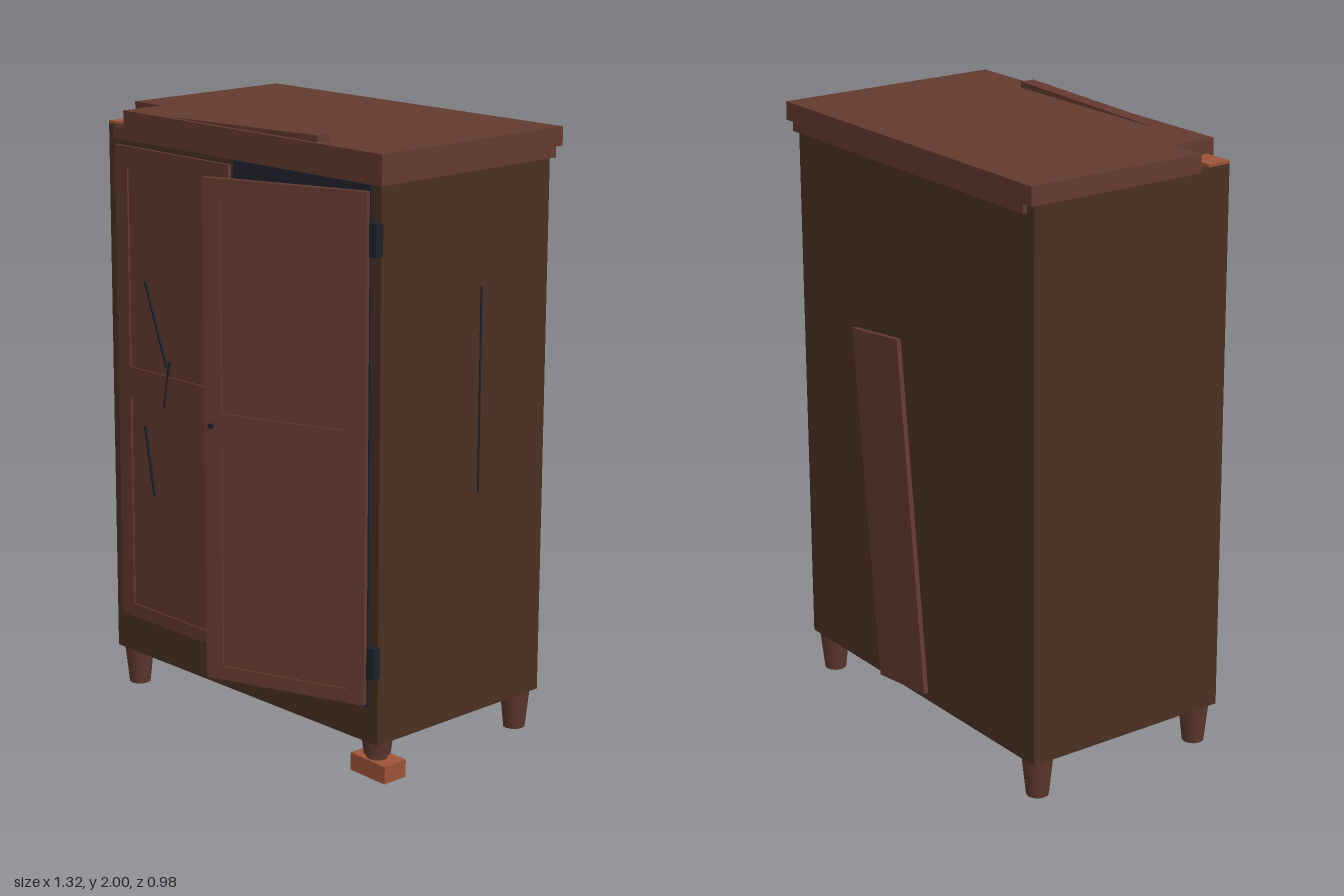
import * as THREE from 'three';

const mat = (name, color) => {
  const m = new THREE.MeshStandardMaterial({ color });
  m.name = name;
  return m;
};

export function createModel() {
  const root = new THREE.Group();
  root.name = 'wardrobe';
  const carcassWood = mat('carcass wood', 0x4a3022);
  const doorWood = mat('red brown wood', 0x63392f);
  const legWood = mat('leg wood', 0x5c372d);
  const rawWood = mat('raw wood', 0x9c5338);
  const iron = mat('dark iron', 0x1d212a);
  const shadow = mat('dark interior', 0x22232f);
  const cloth = mat('sleeve cloth', 0x5a352d);

  const add = (name, geo, m, parent = root) => {
    const mesh = new THREE.Mesh(geo, m);
    mesh.name = name;
    parent.add(mesh);
    return mesh;
  };
  // Box given by its lower and upper bounds
  const box = (name, m, [x0, x1], [y0, y1], [z0, z1], parent = root) => {
    const b = add(name, new THREE.BoxGeometry(x1 - x0, y1 - y0, z1 - z0), m, parent);
    b.position.set((x0 + x1) / 2, (y0 + y1) / 2, (z0 + z1) / 2);
    return b;
  };

  // Carcass and the dark opening
  box('carcass', carcassWood, [-0.632, 0.63], [0.13, 1.925], [-0.46, 0.272]);
  box('opening', shadow, [-0.018, 0.592], [0.245, 1.88], [0.27, 0.278]);

  // Stepped cornice with a broken front corner
  box('corniceMoulding', doorWood, [-0.598, 0.642], [1.883, 1.922], [-0.475, 0.284]);
  box('corniceTop', doorWood, [-0.53, 0.655], [1.92, 1.98], [-0.49, 0.295]);
  box('corniceEnd', doorWood, [-0.66, -0.53], [1.92, 1.98], [-0.49, 0.138]);
  box('brokenCorner', rawWood, [-0.634, -0.53], [1.925, 1.934], [0.19, 0.271]);
  const strip = box('looseStrip', doorWood, [-0.29, 0.365], [1.97, 1.99], [0.23, 0.28]);
  strip.position.y = 1.981;
  strip.rotation.z = 0.028;

  // Panelled doors: frame with two holes, and a recessed panel board
  const rect = (P, x0, x1, y0, y1) => {
    const p = new P();
    p.moveTo(x0, y0);
    p.lineTo(x1, y0);
    p.lineTo(x1, y1);
    p.lineTo(x0, y1);
    p.closePath();
    return p;
  };
  const door = (name) => {
    const g = new THREE.Group();
    g.name = name;
    const w = 0.555, s = 0.06;
    const frame = rect(THREE.Shape, -w, 0, 0.26, 1.863);
    for (const [y0, y1] of [[0.305, 1.028], [1.13, 1.79]]) {
      frame.holes.push(rect(THREE.Path, s - w, -s, y0, y1));
    }
    add('doorFrame', new THREE.ExtrudeGeometry(frame, { depth: 0.02, bevelEnabled: false }), doorWood, g);
    box('doorPanels', doorWood, [s - w - 0.01, 0.01 - s], [0.295, 1.8], [0.005, 0.014], g);
    root.add(g);
    return g;
  };
  door('closedDoor').position.set(-0.035, 0, 0.264);
  const open = door('openDoor');
  open.position.set(0.59, 0, 0.281);
  open.rotation.y = 0.34;

  // Knob, lock plate and the hole of the missing knob
  const stem = add('knobStem', new THREE.CylinderGeometry(0.01, 0.01, 0.02, 10), legWood);
  stem.rotation.x = Math.PI / 2;
  stem.position.set(-0.057, 1.088, 0.29);
  add('knob', new THREE.SphereGeometry(0.022, 12, 8), legWood).position.set(-0.057, 1.088, 0.302);
  box('lockPlate', iron, [-0.078, -0.038], [0.948, 1.014], [0.283, 0.289]);
  box('keyhole', shadow, [-0.061, -0.055], [0.97, 0.992], [0.288, 0.291]);
  const hole = add('knobHole', new THREE.CylinderGeometry(0.009, 0.009, 0.016, 10), iron, open);
  hole.rotation.x = Math.PI / 2;
  hole.position.set(-0.53, 1.088, 0.021);

  // Hinges
  for (const y of [0.4, 1.72]) box('hinge', iron, [0.601, 0.631], [y - 0.05, y + 0.05], [0.265, 0.294]);

  // Cracks in the closed door and the side
  for (const [x0, y0, x1, y1] of [
    [-0.45, 1.43, -0.347, 1.16], [-0.332, 1.18, -0.36, 1.02], [-0.46, 0.94, -0.417, 0.71],
  ]) {
    const c = add('doorCrack', new THREE.BoxGeometry(0.007, Math.hypot(x1 - x0, y1 - y0), 0.009), iron);
    c.position.set((x0 + x1) / 2, (y0 + y1) / 2, 0.2805);
    c.rotation.z = Math.atan2(x0 - x1, y0 - y1) * -1;
  }
  box('sideCrack', iron, [0.626, 0.633], [0.86, 1.52], [-0.163, -0.157]);

  // Board nailed askew on the back
  const board = box('backBoard', doorWood, [0.002, 0.258], [0.14, 1.32], [-0.476, -0.458]);
  board.rotation.z = -0.105;

  // Tapered legs; the front left one is broken and propped on a block
  for (const [x, z] of [[-0.583, 0.22], [-0.583, -0.41], [0.577, -0.41]]) {
    add('leg', new THREE.CylinderGeometry(0.05, 0.036, 0.13, 12), legWood).position.set(x, 0.065, z);
  }
  add('brokenLeg', new THREE.CylinderGeometry(0.05, 0.043, 0.05, 12), legWood).position.set(0.577, 0.105, 0.22);
  add('brokenLegStub', new THREE.CylinderGeometry(0.034, 0.034, 0.03, 12), legWood).position.set(0.577, 0.075, 0.22);
  const block = box('propBlock', rawWood, [0.501, 0.653], [0.008, 0.066], [0.17, 0.262]);
  block.rotation.z = -0.03;

  // Crumpled sleeve hanging out between the doors: rings of [x, y, z, radius]
  const rings = [
    [0.12, 1.04, 0.275, 0.03], [0.105, 0.98, 0.29, 0.038], [0.08, 0.84, 0.305, 0.045],
    [0.072, 0.74, 0.318, 0.046], [0.08, 0.61, 0.33, 0.04], [0.056, 0.5, 0.34, 0.054], [0.06, 0.475, 0.345, 0.045],
  ];
  const sides = 8, pos = [], idx = [];
  rings.forEach(([x, y, z, r], i) => {
    for (let j = 0; j < sides; j++) {
      const a = (j / sides) * Math.PI * 2;
      pos.push(x + r * Math.cos(a), y - 0.012 * Math.cos(a), z + r * 0.85 * Math.sin(a));
      const k = (j + 1) % sides, p = i * sides, q = p + sides;
      if (i < rings.length - 1) idx.push(p + j, p + k, q + j, p + k, q + k, q + j);
    }
  });
  const last = (rings.length - 1) * sides;
  for (let j = 1; j < sides - 1; j++) {
    idx.push(0, j + 1, j);
    idx.push(last, last + j, last + j + 1);
  }
  const sleeve = new THREE.BufferGeometry();
  sleeve.setAttribute('position', new THREE.Float32BufferAttribute(pos, 3));
  sleeve.setIndex(idx);
  const flat = sleeve.toNonIndexed();
  flat.computeVertexNormals();
  cloth.side = THREE.DoubleSide;
  add('sleeve', flat, cloth);

  return root;
}
